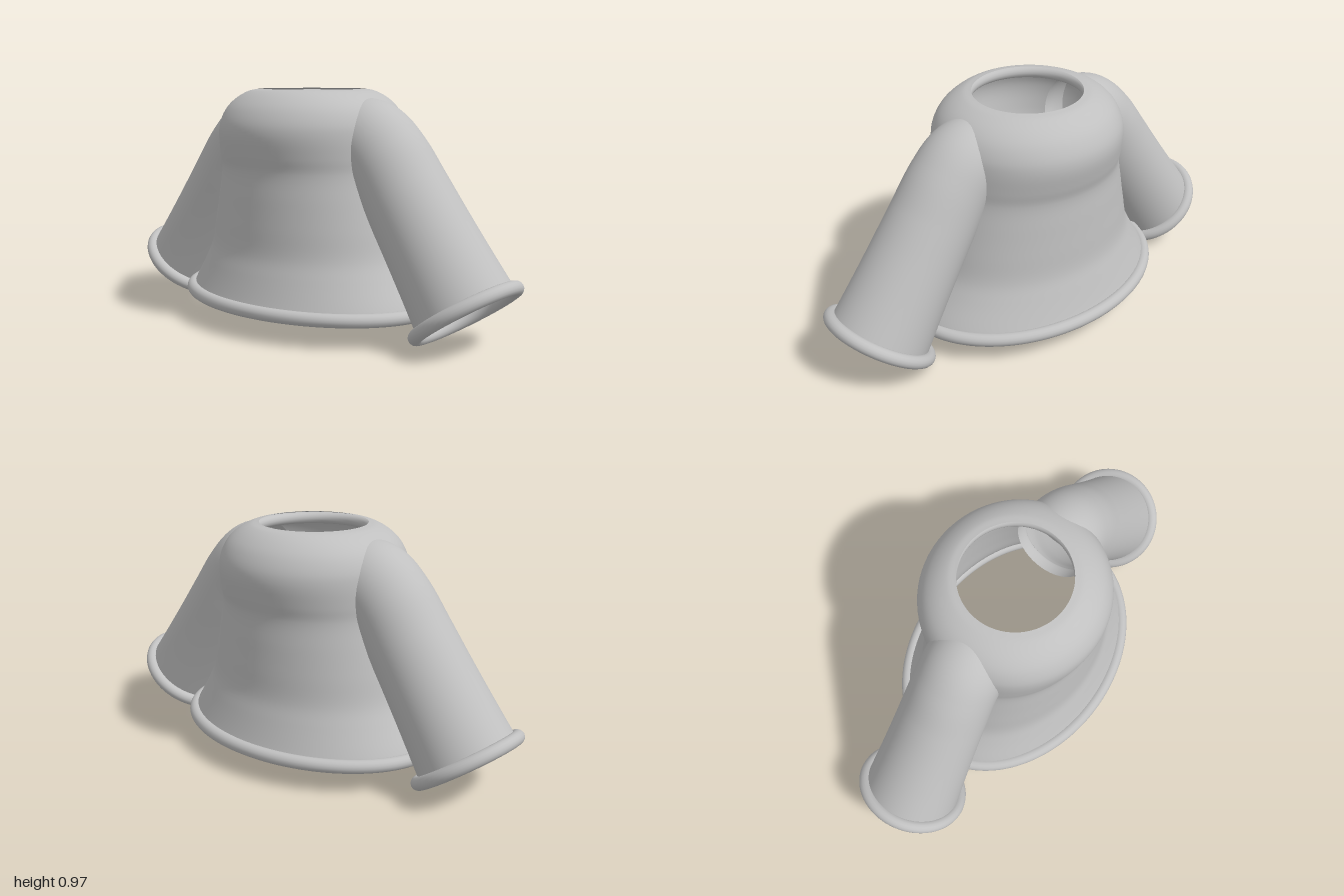
import * as THREE from 'three';

const fabric = new THREE.MeshStandardMaterial({ color: 0xc0c0c0, side: THREE.DoubleSide });
fabric.name = 'grey fabric';

// Skins a stack of closed rings; ringPoint(t, angle) gives a point on ring t
function loft(ringPoint, rows, cols = 72) {
  const pos = [], index = [];
  for (let i = 0; i <= rows; i++) {
    for (let j = 0; j < cols; j++) {
      pos.push(...ringPoint(i / rows, (j / cols) * Math.PI * 2));
      if (i === rows) continue;
      const a = i * cols + j, b = i * cols + ((j + 1) % cols);
      index.push(a, a + cols, b, b, a + cols, b + cols);
    }
  }
  const geo = new THREE.BufferGeometry();
  geo.setAttribute('position', new THREE.Float32BufferAttribute(pos, 3));
  geo.setIndex(index);
  geo.computeVertexNormals();
  return geo;
}

function part(name, geo) {
  const mesh = new THREE.Mesh(geo, fabric);
  mesh.name = name;
  return mesh;
}

const spline = (points) => new THREE.CatmullRomCurve3(points.map((p) => new THREE.Vector3(...p)));

// Round piping along a horizontal ellipse
function ellipseRing(rx, rz, y, tube) {
  const points = Array.from({ length: 48 }, (_, i) => {
    const a = (i / 48) * Math.PI * 2;
    return new THREE.Vector3(rx * Math.cos(a), y, rz * Math.sin(a));
  });
  return new THREE.TubeGeometry(new THREE.CatmullRomCurve3(points, true), 120, tube, 16, true);
}

export function createModel() {
  const model = new THREE.Group();
  model.name = 'garment';

  // Body: [half width, height, half depth] of each elliptical ring
  const body = spline([
    [0.592, 0.13, 0.432], [0.578, 0.16, 0.42], [0.52, 0.255, 0.389], [0.482, 0.33, 0.368],
    [0.455, 0.44, 0.36], [0.43, 0.55, 0.354], [0.408, 0.66, 0.35], [0.406, 0.72, 0.364],
    [0.402, 0.8, 0.378], [0.394, 0.85, 0.373], [0.368, 0.905, 0.347], [0.325, 0.947, 0.308],
    [0.265, 0.977, 0.26], [0.225, 0.985, 0.223],
  ]);
  model.add(part('body', loft((t, a) => {
    const p = body.getPoint(t);
    return [p.x * Math.cos(a), p.y, p.z * Math.sin(a)];
  }, 65)));

  // Piping at the hem and just inside the neck opening
  model.add(part('hem', ellipseRing(0.588, 0.437, 0.128, 0.027)));
  model.add(part('neckband', ellipseRing(0.249, 0.249, 0.953, 0.025)));

  // Sleeve: [x, y, radius] along its centre line, from cuff to shoulder
  const path = spline([
    [0.785, 0.165, 0.203], [0.69, 0.303, 0.192], [0.595, 0.441, 0.183], [0.5, 0.579, 0.176],
    [0.408, 0.708, 0.17], [0.33, 0.778, 0.167], [0.25, 0.8, 0.158],
  ]);
  const sleeveGeo = loft((t, a) => {
    const p = path.getPoint(t), d = path.getTangent(t);
    const len = Math.hypot(d.x, d.y), side = p.z * Math.cos(a);
    return [p.x + (side * d.y) / len, p.y - (side * d.x) / len, -p.z * Math.sin(a)];
  }, 48, 64);
  const cuffGeo = new THREE.TorusGeometry(0.21, 0.027, 16, 72);
  cuffGeo.rotateX(Math.PI / 2);

  for (const [side, turn] of [['left', 0], ['right', Math.PI]]) {
    const sleeve = new THREE.Group();
    sleeve.name = side + 'Sleeve';
    const cuff = part(side + 'Cuff', cuffGeo);
    cuff.position.set(0.783, 0.163, 0);
    cuff.rotation.z = 0.61;
    sleeve.add(part(side + 'SleeveTube', sleeveGeo), cuff);
    sleeve.rotation.y = turn;
    model.add(sleeve);
  }
  return model;
}
